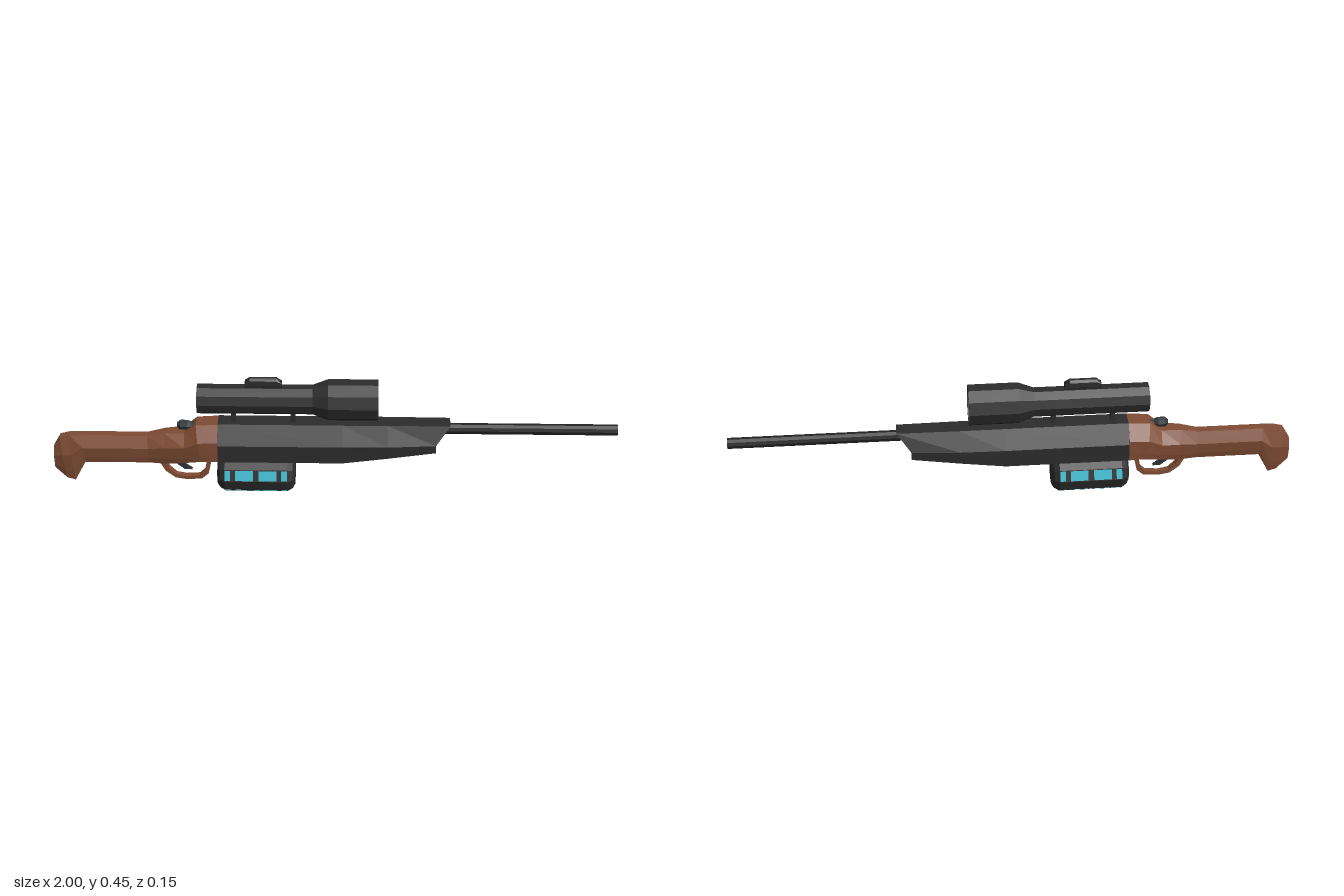
import * as THREE from 'three';

const paint = (name, color) => {
  const m = new THREE.MeshStandardMaterial({ color });
  m.name = name;
  return m;
};

// Faceted normals for every part
function flat(geo) {
  const g = geo.index ? geo.toNonIndexed() : geo;
  g.computeVertexNormals();
  return g;
}

// Skin through mirrored eight-point sections, ordered from -x to +x.
// Each section is four [x, y, halfWidth] levels from top to bottom.
function loft(sections) {
  const rings = sections.map((s) => [
    ...s.map(([x, y, w]) => [x, y, w]),
    ...[...s].reverse().map(([x, y, w]) => [x, y, -w]),
  ]);
  const pos = [];
  const quad = (a, b, c, d) => pos.push(...a, ...b, ...c, ...a, ...c, ...d);
  for (let i = 0; i < rings.length - 1; i++) {
    for (let j = 0; j < 8; j++) {
      const k = (j + 1) % 8;
      quad(rings[i][j], rings[i][k], rings[i + 1][k], rings[i + 1][j]);
    }
  }
  const first = rings[0], last = rings[rings.length - 1];
  for (let j = 0; j < 3; j++) {
    quad(last[j], last[j + 1], last[6 - j], last[7 - j]);
    quad(first[7 - j], first[6 - j], first[j + 1], first[j]);
  }
  const g = new THREE.BufferGeometry();
  g.setAttribute('position', new THREE.Float32BufferAttribute(pos, 3));
  return g;
}

// Turned part along x; profile is [x, radius] from -x to +x
function turned(profile, sides) {
  const pts = profile.map(([x, r]) => new THREE.Vector2(r, x));
  return new THREE.LatheGeometry(pts, sides).rotateZ(-Math.PI / 2);
}

// Flat bent strip: outline points pushed through z
function plate(points, depth) {
  const shape = new THREE.Shape(points.map(([x, y]) => new THREE.Vector2(x, y)));
  return new THREE.ExtrudeGeometry(shape, { depth, bevelEnabled: false }).translate(0, 0, -depth / 2);
}

export function createModel() {
  const black = paint('black metal', 0x2c2c2c);
  const barrelBlack = paint('barrel black', 0x222223);
  const wood = paint('brown wood', 0x7f4c34);
  const cyan = paint('glowing cyan', 0x3dbbd0);
  const glass = paint('grey glass', 0x868686);
  const steel = paint('dark steel', 0x2e3335);

  const model = new THREE.Group();
  const add = (name, geo, mat, parent = model) => {
    const mesh = new THREE.Mesh(flat(geo), mat);
    mesh.name = name;
    parent.add(mesh);
    return mesh;
  };
  const group = (name) => {
    const g = new THREE.Group();
    g.name = name;
    model.add(g);
    return g;
  };

  // Receiver and fore-end with tapered underside and slanted nose
  const straight = (x) => [[x, 0.281, 0.033], [x, 0.215, 0.073], [x, 0.15, 0.073], [x, 0.15, 0.033]];
  add('receiver', loft([
    straight(-0.41),
    straight(0.03),
    [[0.19, 0.281, 0.033], [0.19, 0.215, 0.07], [0.19, 0.168, 0.068], [0.19, 0.15, 0.033]],
    [[0.41, 0.281, 0.03], [0.36, 0.217, 0.06], [0.36, 0.188, 0.06], [0.36, 0.185, 0.03]],
  ]), black);
  add('barrel', turned([[0.36, 0], [0.36, 0.02], [1, 0.02], [1, 0.012], [0.98, 0.012], [0.98, 0]], 10)
    .translate(0, 0.255, 0), barrelBlack);

  // Stock: [top x, top y, bottom x, bottom y, half width, bottom width factor]
  const stock = [
    [-1, 0.17, -1, 0.088, 0.02, 0.7],
    [-0.975, 0.212, -0.958, 0.05, 0.032, 0.7],
    [-0.94, 0.22, -0.928, 0.042, 0.035, 0.7],
    [-0.9, 0.221, -0.888, 0.117, 0.035, 0.7],
    [-0.663, 0.221, -0.66, 0.117, 0.035, 0.7],
    [-0.6, 0.235, -0.6, 0.118, 0.046, 0.75],
    [-0.53, 0.24, -0.53, 0.132, 0.06, 0.85],
    [-0.487, 0.275, -0.47, 0.148, 0.072, 0.95],
    [-0.41, 0.28, -0.41, 0.15, 0.073, 1],
  ];
  add('stock', loft(stock.map(([xt, yt, xb, yb, w, f]) => {
    const level = (t, k) => [xt + (xb - xt) * t, yt + (yb - yt) * t, w * k];
    return [level(0, 0.45), level(0.4, 1), level(0.8, (1 + f) / 2), level(1, f)];
  })), wood);

  // Trigger guard, trigger and the rear bolt knob
  add('triggerGuard', plate([
    [-0.63, 0.125], [-0.605, 0.075], [-0.57, 0.047], [-0.53, 0.04], [-0.475, 0.043], [-0.45, 0.065],
    [-0.43, 0.155], [-0.447, 0.155], [-0.463, 0.075], [-0.482, 0.056], [-0.53, 0.053], [-0.565, 0.06],
    [-0.59, 0.085], [-0.607, 0.125],
  ], 0.022), wood);
  add('trigger', plate([
    [-0.575, 0.13], [-0.56, 0.1], [-0.535, 0.08], [-0.508, 0.079], [-0.53, 0.095], [-0.54, 0.14],
  ], 0.014), steel);
  add('boltKnob', turned([[-0.555, 0], [-0.555, 0.01], [-0.545, 0.018], [-0.52, 0.018], [-0.505, 0.012],
    [-0.47, 0.012], [-0.47, 0]], 8).translate(0, 0.26, 0), steel);

  // Scope with recessed lenses
  const scope = group('scope');
  scope.position.y = 0.367;
  add('scopeTube', turned([
    [-0.474, 0], [-0.474, 0.046], [-0.48, 0.046], [-0.48, 0.053], [-0.075, 0.053], [-0.02, 0.0735],
    [0.155, 0.0735], [0.155, 0.065], [0.149, 0.065], [0.149, 0],
  ], 10), black, scope);
  add('frontLens', turned([[0.148, 0], [0.148, 0.065], [0.152, 0.065], [0.152, 0]], 10), glass, scope);
  add('rearLens', turned([[-0.477, 0], [-0.477, 0.046], [-0.473, 0.046], [-0.473, 0]], 10), glass, scope);
  const dial = (x, inset) => [[x, 0.085 - inset, 0.006], [x, 0.077 - inset / 2, 0.014],
    [x, 0.058, 0.014], [x, 0.045, 0.01]];
  add('scopeDial', loft([dial(-0.312, 0.016), dial(-0.295, 0), dial(-0.2, 0), dial(-0.183, 0.016)]), black, scope);
  for (const x of [-0.355, -0.145]) {
    add('scopeMount', new THREE.BoxGeometry(0.016, 0.06, 0.018).translate(x, -0.07, 0), black, scope);
  }

  // Energy canister hung under the receiver
  const canister = group('canister');
  canister.position.set(-0.278, 0.0665, 0);
  add('canisterShell', turned([
    [-0.139, 0], [-0.139, 0.042], [-0.13, 0.058], [-0.112, 0.0695],
    [0.112, 0.0695], [0.13, 0.058], [0.139, 0.042], [0.139, 0],
  ], 10), black, canister);
  add('canisterMount', new THREE.BoxGeometry(0.18, 0.03, 0.024).translate(0, 0.072, 0), black, canister);

  // Windows on every second facet
  const apothem = 0.0695 * Math.cos(Math.PI / 10);
  for (let i = 0; i < 5; i++) {
    for (const [x, w] of [[-0.101, 0.02], [-0.042, 0.064], [0.042, 0.064], [0.101, 0.02]]) {
      const pane = new THREE.BoxGeometry(w, 0.004, 0.037).translate(x, apothem - 0.001, 0);
      add('canisterWindow', pane.rotateX((i * Math.PI * 2) / 5), cyan, canister);
    }
  }
  return model;
}
